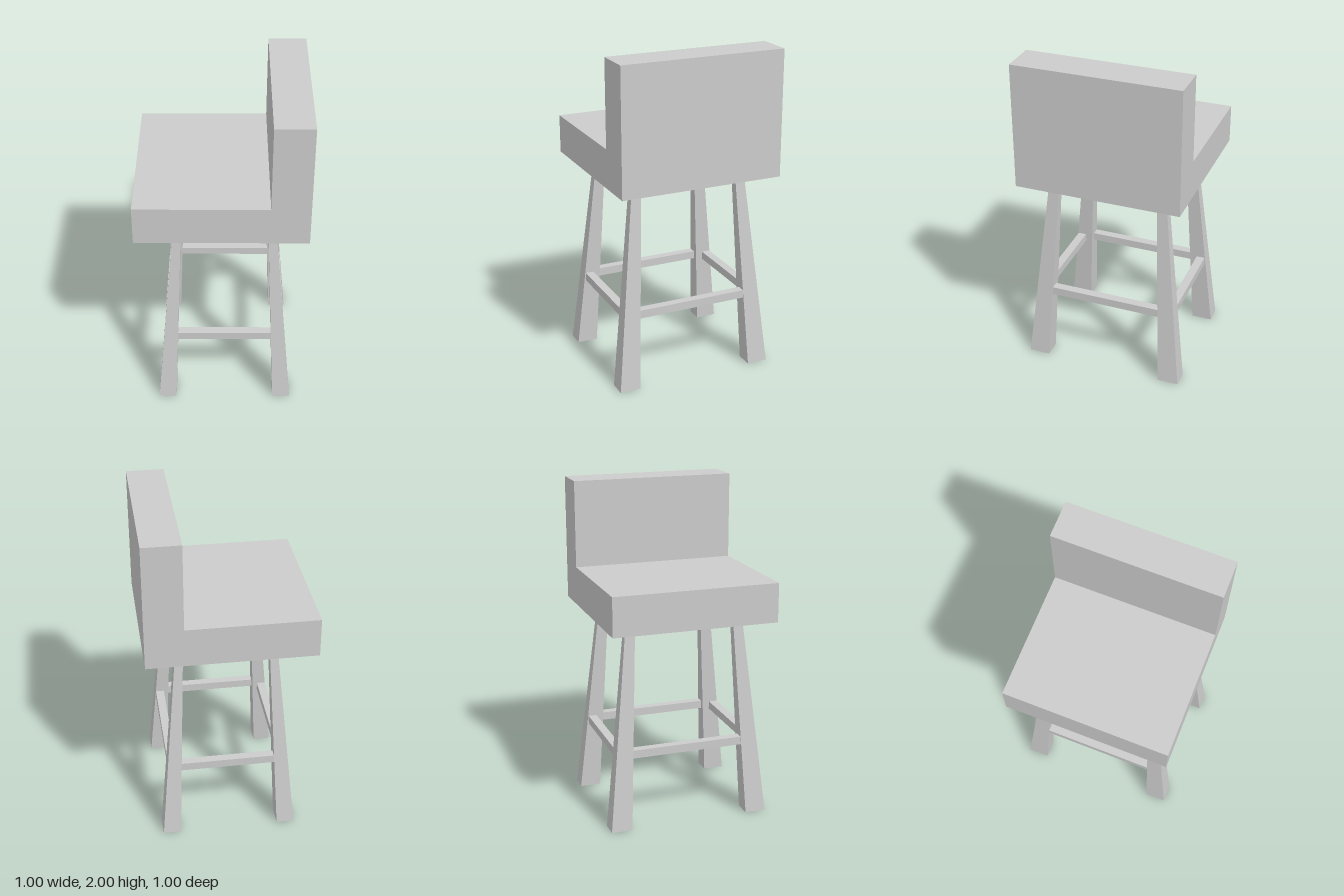
import * as THREE from 'three';

const SEAT_Y = 1.24;
const material = new THREE.MeshStandardMaterial({ color: 0xcccccc, flatShading: true });

function box(name, w, h, d, x, y, z) {
  const mesh = new THREE.Mesh(new THREE.BoxGeometry(w, h, d), material);
  mesh.name = name;
  mesh.position.set(x, y, z);
  return mesh;
}

// Splayed, tapered leg: inner/outer distances from the base centre at floor and seat
function leg(name, sx, sz) {
  const geo = new THREE.BoxGeometry(1, 1, 1);
  const pos = geo.attributes.position;
  const range = { x: { floor: [0.303, 0.41], seat: [0.252, 0.298] },
                  z: { floor: [0.367, 0.495], seat: [0.304, 0.362] } };
  const place = (v, s, r) => s * r[v * s > 0 ? 1 : 0];
  for (let i = 0; i < pos.count; i++) {
    const level = pos.getY(i) > 0 ? 'seat' : 'floor';
    pos.setXYZ(i, place(pos.getX(i), sx, range.x[level]),
      level === 'seat' ? SEAT_Y : 0, place(pos.getZ(i), sz, range.z[level]));
  }
  geo.computeVertexNormals();
  const mesh = new THREE.Mesh(geo, material);
  mesh.name = name;
  return mesh;
}

export function createModel() {
  const stool = new THREE.Group();
  stool.name = 'barStool';

  // Seat and backrest as one L-shaped block
  const profile = new THREE.Shape([
    [-0.5, SEAT_Y], [0.5, SEAT_Y], [0.5, 2], [0.275, 2], [0.275, 1.475], [-0.5, 1.475],
  ].map(([x, y]) => new THREE.Vector2(x, y)));
  const seatGeo = new THREE.ExtrudeGeometry(profile, { depth: 1, bevelEnabled: false });
  seatGeo.translate(0, 0, -0.5);
  const seat = new THREE.Mesh(seatGeo, material);
  seat.name = 'seatAndBackrest';
  stool.add(seat);

  // Base sits slightly off centre under the seat
  const base = new THREE.Group();
  base.name = 'base';
  base.position.set(0.018, 0, 0.003);
  stool.add(base);

  base.add(box('mountingPlate', 0.56, 0.015, 0.69, 0, SEAT_Y - 0.0075, 0));

  for (const sx of [-1, 1])
    for (const sz of [-1, 1])
      base.add(leg((sz > 0 ? 'front' : 'back') + (sx > 0 ? 'Left' : 'Right') + 'Leg', sx, sz));

  // Footrest rails, near the outer faces of the legs
  for (const s of [-1, 1]) {
    base.add(box(s > 0 ? 'frontRail' : 'backRail', 0.6, 0.05, 0.052, 0, 0.465, s * 0.413));
    base.add(box(s > 0 ? 'leftRail' : 'rightRail', 0.052, 0.05, 0.72, s * 0.339, 0.465, 0));
  }

  return stool;
}
